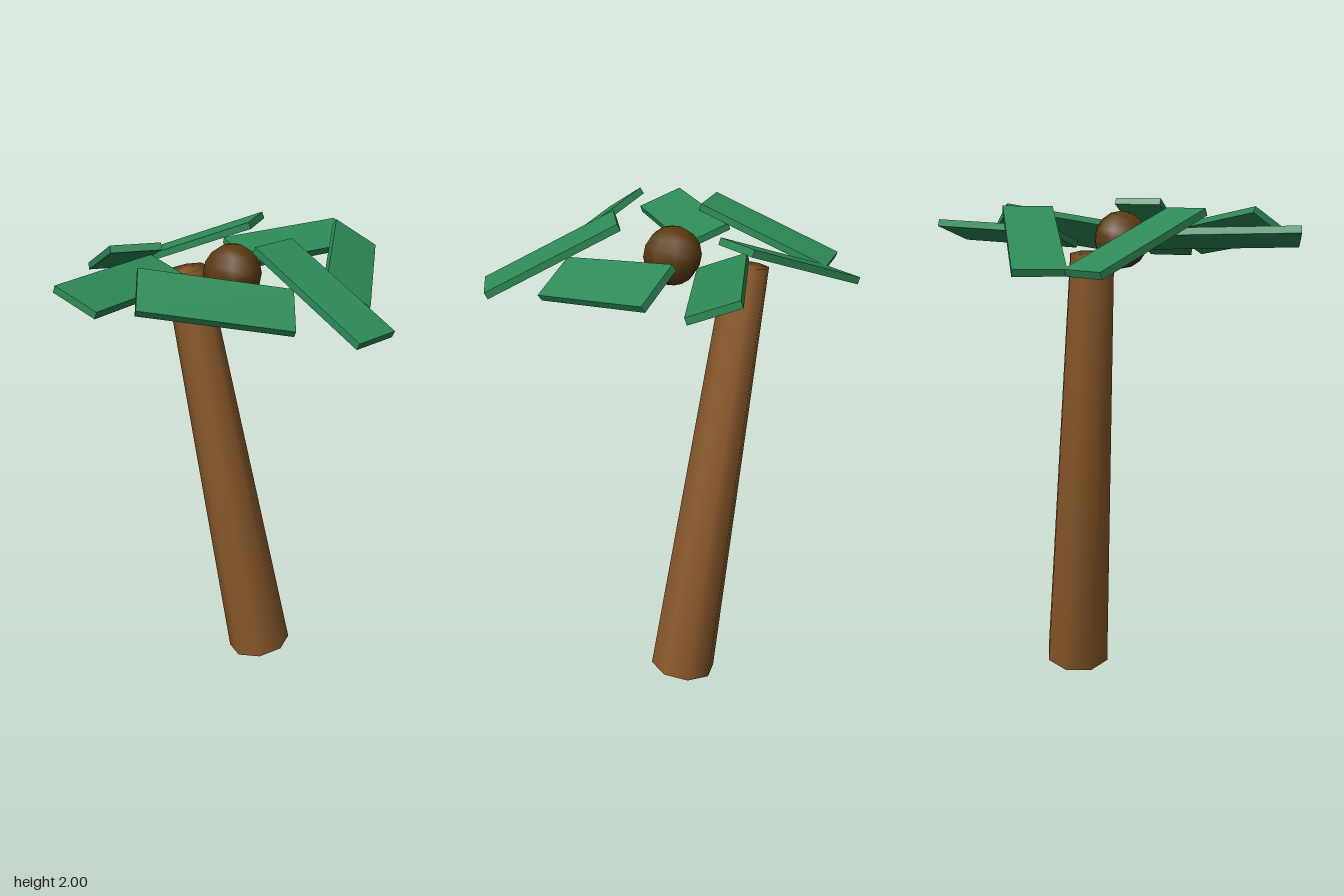
import * as THREE from 'three';
import { mergeVertices } from 'three/addons/utils/BufferGeometryUtils.js';

// Share vertices so that shading runs smoothly over the end caps too
function smoothAll(geometry) {
  geometry.deleteAttribute('normal');
  geometry.deleteAttribute('uv');
  const merged = mergeVertices(geometry, 1e-4);
  merged.computeVertexNormals();
  return merged;
}

export function createModel() {
  const model = new THREE.Group();
  model.name = 'palmTree';

  const add = (name, geometry, color, x, y, z) => {
    const mesh = new THREE.Mesh(geometry, new THREE.MeshStandardMaterial({ color }));
    mesh.name = name;
    mesh.position.set(x, y, z);
    model.add(mesh);
    return mesh;
  };

  // Leaning, tapered trunk
  const trunk = add('trunk', smoothAll(new THREE.CylinderGeometry(0.088, 0.139, 1.8, 8)), 0x8b5a2b, -0.168, 0.915, -0.107);
  trunk.rotation.set(0.1, 0, 0.15, 'ZYX');

  // Coconut at the centre of the crown
  const crownX = -0.012;
  add('coconut', new THREE.SphereGeometry(0.114, 8, 8), 0x5c3a10, crownX, 1.843, 0);

  // Ring of seven tilted plank-like leaves
  const leafGeometry = new THREE.BoxGeometry(0.56, 0.028, 0.195);
  const leaves = 7, radius = 0.464, tilt = 0.45;
  for (let i = 0; i < leaves; i++) {
    const a = (i / leaves) * Math.PI * 2;
    const c = Math.cos(a), s = Math.sin(a);
    const leaf = add(`leaf${i + 1}`, leafGeometry, 0x2e8b57, crownX + radius * c, 1.866, radius * s);
    leaf.rotation.set(tilt * s, a, -tilt * c, 'ZYX');
  }

  return model;
}
